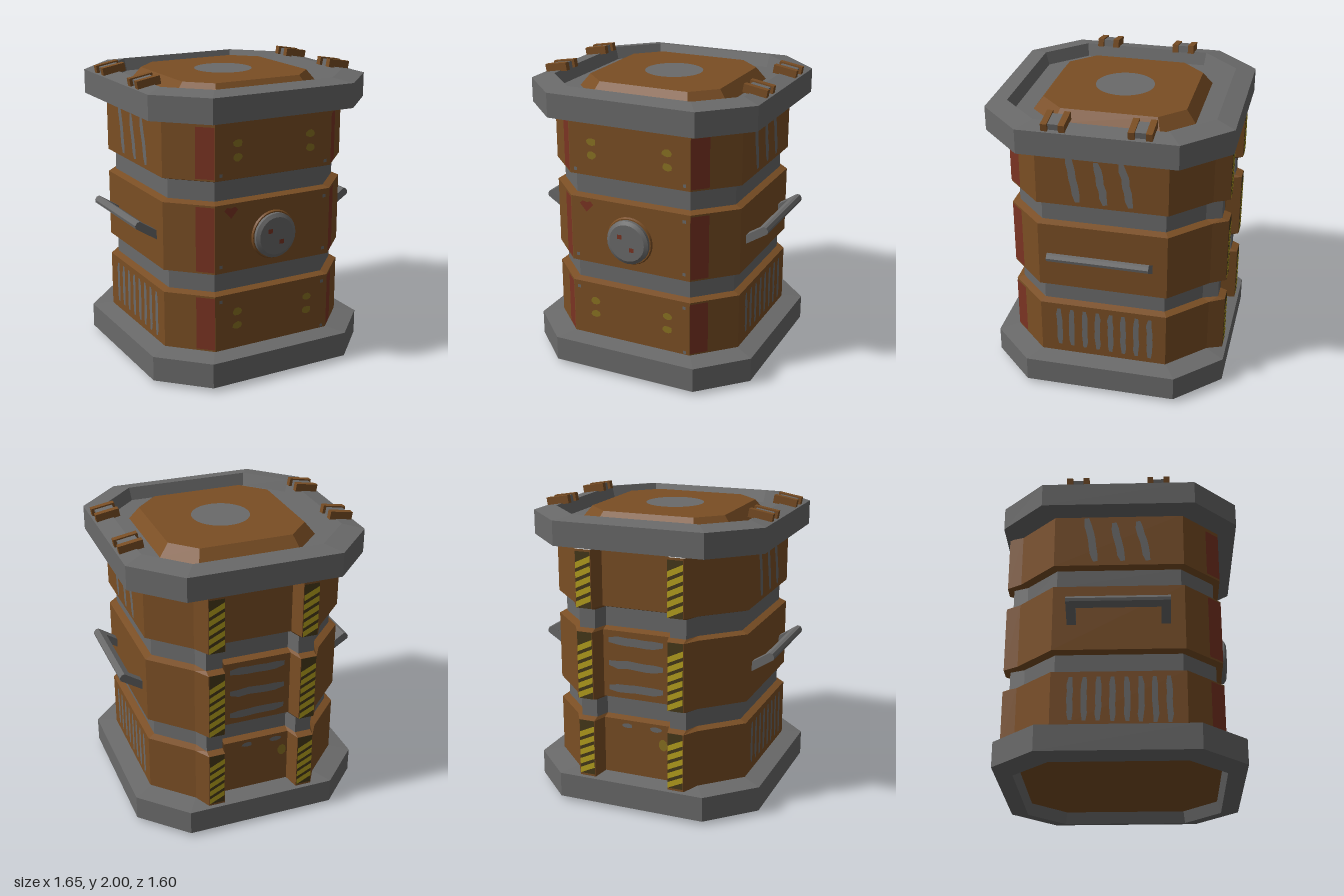
import * as THREE from 'three';

const mat = (name, color) => Object.assign(new THREE.MeshStandardMaterial({ color }), { name });

// small seeded generator for worn paint edges
let seed = 7;
const rnd = () => ((seed = (seed * 16807) % 2147483647) / 2147483647) - 0.5;

// octagon with half width h and corner start c
const octagon = (h, c, y) => [[-c, h], [c, h], [h, c], [h, -c], [c, -h], [-c, -h], [-h, -c], [-h, c]]
  .map(([x, z]) => [x, y, z]);

// octagon with two trapezoid pillars on the back
function bodyRing(inset, y) {
  const h = 0.675 - inset, c = 0.43 - inset * 0.45, p = -0.775 + inset;
  const back = [[0.37, p], [0.26, p], [0.23, -h], [-0.23, -h], [-0.26, p], [-0.37, p]];
  const ring = octagon(h, c, y);
  ring.splice(5, 0, ...back.map(([x, z]) => [x, y, z]));
  return ring;
}

// flat-faced skin over a stack of equal-length rings
function loft(rings) {
  const pos = [];
  for (let i = 0; i + 1 < rings.length; i++) {
    const lo = rings[i], up = rings[i + 1], n = lo.length;
    for (let j = 0; j < n; j++) {
      const k = (j + 1) % n;
      pos.push(...lo[j], ...lo[k], ...up[k], ...lo[j], ...up[k], ...up[j]);
    }
  }
  const g = new THREE.BufferGeometry();
  g.setAttribute('position', new THREE.Float32BufferAttribute(pos, 3));
  g.computeVertexNormals();
  return g;
}

const poly = (pts) => new THREE.Shape(pts.map(([x, y]) => new THREE.Vector2(x, y)));
const rect = (x0, y0, x1, y1) => poly([[x0, y0], [x1, y0], [x1, y1], [x0, y1]]);

// paint stroke with slightly ragged edges
function stroke(x0, y0, x1, y1, w) {
  const len = Math.hypot(x1 - x0, y1 - y0), nx = -(y1 - y0) / len, ny = (x1 - x0) / len;
  const a = [], b = [];
  for (let i = 0; i <= 6; i++) {
    const t = i / 6, half = (i % 6 === 0 ? 0.3 : 0.5) * w, d = rnd() * w * 0.2;
    const x = x0 + (x1 - x0) * t + nx * d, y = y0 + (y1 - y0) * t + ny * d;
    a.push([x - nx * half, y - ny * half]);
    b.unshift([x + nx * half, y + ny * half]);
  }
  return poly([...a, ...b]);
}

// uneven round paint spot
const blob = (x, y, rx, ry) => poly(Array.from({ length: 9 }, (_, i) => {
  const a = i / 9 * Math.PI * 2, r = 1 + rnd() * 0.25;
  return [x + Math.cos(a) * rx * r, y + Math.sin(a) * ry * r];
}));

export function createModel() {
  seed = 7;
  const model = new THREE.Group();
  model.name = 'container';
  const brown = mat('rust brown', 0x7a4e24), gray = mat('steel gray', 0x6a6a6a), red = mat('faded red', 0x7a3322);
  const yellow = mat('old yellow', 0x8a7222), bright = mat('hazard yellow', 0xb8a21e), dark = mat('hazard dark', 0x46391a);

  const add = (parent, name, geo, material, x = 0, y = 0, z = 0) => {
    const m = new THREE.Mesh(geo, material);
    m.name = name;
    m.position.set(x, y, z);
    parent.add(m);
    return m;
  };
  const box = (w, h, d) => new THREE.BoxGeometry(w, h, d);

  // three wide bands with bevelled edges and two recesses between
  const r = 0.046;
  const bands = [[0.2, 0.597], [0.75, 1.207], [1.366, 1.75]];
  bands.forEach(([y0, y1], i) => {
    const rings = [bodyRing(0, y0), bodyRing(0, y1)];
    if (i > 0) rings.unshift(bodyRing(r, y0 - 0.016));
    if (i < 2) rings.push(bodyRing(r, y1 + 0.016));
    add(model, 'bodyBand', loft(rings), brown);
    if (i < 2) add(model, 'bodyRecess', loft([bodyRing(r, y1 + 0.016), bodyRing(r, bands[i + 1][0] - 0.016)]), gray);
  });

  // bottom and top frames
  add(model, 'baseFrame', loft([octagon(0.65, 0.42, 0.08), octagon(0.675, 0.43, 0), octagon(0.8, 0.51, 0.027),
    octagon(0.8, 0.51, 0.195), octagon(0.66, 0.425, 0.215)]), gray);
  add(model, 'basePlate', loft([octagon(0, 0, 0.08), octagon(0.65, 0.42, 0.08)]), brown);
  add(model, 'topFrame', loft([octagon(0.66, 0.425, 1.735), octagon(0.8, 0.51, 1.76), octagon(0.8, 0.51, 1.922),
    octagon(0.675, 0.43, 1.945), octagon(0.65, 0.42, 1.86), octagon(0, 0, 1.86)]), gray);

  // lid with a round painted centre
  add(model, 'lid', loft([octagon(0.53, 0.34, 1.86), octagon(0.467, 0.312, 1.94), octagon(0, 0, 1.94)]), brown);
  add(model, 'lidDisc', new THREE.CircleGeometry(0.195, 40), gray, 0, 1.943, 0).rotation.x = -Math.PI / 2;

  // lid clamps: two brown bars around a gray block
  for (const sx of [-1, 1]) for (const sz of [-1, 1]) {
    const clamp = new THREE.Group();
    clamp.name = 'clamp';
    clamp.position.set(sx * 0.712, 1.96, sz * 0.27);
    clamp.rotation.z = -sx * 0.17;
    for (const s of [-1, 1]) add(clamp, 'clampBar', box(0.16, 0.055, 0.04), brown, 0, 0, s * 0.055);
    add(clamp, 'clampBlock', box(0.12, 0.045, 0.07), gray, 0, -0.004, 0);
    model.add(clamp);
  }

  // side handles
  for (const side of [0, Math.PI]) {
    const turn = new THREE.Group(), handle = new THREE.Group();
    turn.name = 'handle';
    handle.name = 'handleFrame';
    turn.rotation.y = side;
    handle.position.set(0.66, 0.95, 0);
    handle.rotation.z = 0.57;
    for (const s of [-1, 1]) add(handle, 'handleLeg', box(0.16, 0.053, 0.06), gray, 0.07, 0, s * 0.305);
    const section = poly([[-0.03, -0.027], [0.02, -0.027], [0.034, -0.012], [0.034, 0.012], [0.02, 0.027], [-0.03, 0.027]]);
    add(handle, 'handleBar', new THREE.ExtrudeGeometry(section, { depth: 0.67, bevelEnabled: false }), gray, 0.155, 0, -0.335);
    turn.add(handle);
    model.add(turn);
  }

  // round dial on the front
  const dial = new THREE.Group();
  dial.name = 'dial';
  dial.position.set(0, 0.957, 0.675);
  dial.rotation.x = Math.PI / 2;
  const disc = (name, top, bottom, h, m, y) => add(dial, name, new THREE.CylinderGeometry(top, bottom, h, 28), m, 0, y, 0);
  disc('dialSeat', 0.158, 0.165, 0.012, brown, 0.006);
  disc('dialRim', 0.15, 0.15, 0.034, gray, 0.017);
  disc('dialFace', 0.126, 0.15, 0.014, gray, 0.041);
  model.add(dial);

  // painted details, one group per wall
  const wall = (name, angle, dist) => {
    const g = new THREE.Group();
    g.name = name;
    g.rotation.y = angle;
    g.position.set(Math.sin(angle) * dist, 0, Math.cos(angle) * dist);
    model.add(g);
    return g;
  };
  const paint = (g, name, shapes, m, z = 0) => add(g, name, new THREE.ShapeGeometry(shapes), m, 0, 0, z);

  const front = wall('frontPaint', 0, 0.678);
  paint(front, 'yellowSpots', [-0.268, 0.27].flatMap((x) =>
    [1.596, 1.505, 0.468, 0.37].map((y) => blob(x, y, 0.035, 0.026))), yellow);
  paint(front, 'redMark', poly([[-0.315, 1.11], [-0.265, 1.165], [-0.285, 1.185], [-0.315, 1.178], [-0.345, 1.185], [-0.365, 1.165]]), red);
  paint(front, 'rivets', [[-0.39, 1.4], [0.39, 1.4], [0.39, 1.16], [0.39, 0.795], [0.395, 0.23], [-0.39, 0.555], [0.39, 0.555], [-0.39, 0.795]]
    .map(([x, y]) => rect(x - 0.011, y - 0.011, x + 0.011, y + 0.011)), gray);
  paint(front, 'dialMarks', [rect(-0.067, 0.98, -0.035, 1.01), rect(0.018, 0.9, 0.052, 0.93)], red, 0.048);

  // claw strokes and vent slots on both sides
  for (const a of [Math.PI / 2, -Math.PI / 2]) {
    const side = wall('sidePaint', a, 0.678);
    paint(side, 'slantedStrokes', [[-0.215, 1.73], [-0.035, 1.69], [0.13, 1.7]].map(([x, y]) => stroke(x, y, x + 0.06, 1.395, 0.05)), gray);
    paint(side, 'ventSlots', Array.from({ length: 8 }, (_, i) => {
      const x = -0.305 + i * 0.089;
      return stroke(x, 0.56, x, 0.27 - i * 0.003, 0.038);
    }), gray);
  }

  // red stripe along the front edge of both front chamfers
  for (const s of [-1, 1]) {
    const chamfer = wall('chamferPaint', s * Math.PI / 4, 0.784);
    paint(chamfer, 'redStripe', bands.map(([y0, y1]) => {
      const x = [-s * 0.171, -s * 0.046].sort((p, q) => p - q);
      return rect(x[0], Math.max(y0 + 0.012, 0.225), x[1], Math.min(y1 - 0.012, 1.71));
    }), red);
  }

  // back panel strokes and spots
  const back = wall('backPaint', Math.PI, 0.678);
  paint(back, 'backStrokes', [1.14, 0.98, 0.82].map((y) => stroke(-0.19, y, 0.19, y, 0.055)), gray);
  paint(back, 'backSpots', [blob(-0.067, 0.56, 0.04, 0.018), blob(0.14, 0.56, 0.04, 0.018)], gray);
  paint(back, 'backYellowSpot', blob(0.19, 0.46, 0.03, 0.04), yellow);

  // hazard stripes on the back pillars
  const pillars = wall('pillarPaint', Math.PI, 0.777);
  for (const x of [-0.315, 0.315]) for (const [y0, y1] of bands) {
    const w = 0.052, lo = Math.max(y0, 0.215), hi = Math.min(y1, 1.735), stripes = [];
    paint(pillars, 'hazardBase', rect(x - w, lo, x + w, hi), dark);
    for (let y = lo; y + 0.09 < hi; y += 0.064) {
      stripes.push(poly([[x - w, y], [x + w, y + 0.05], [x + w, y + 0.09], [x - w, y + 0.04]]));
    }
    paint(pillars, 'hazardStripes', stripes, bright, 0.002);
  }
  return model;
}
